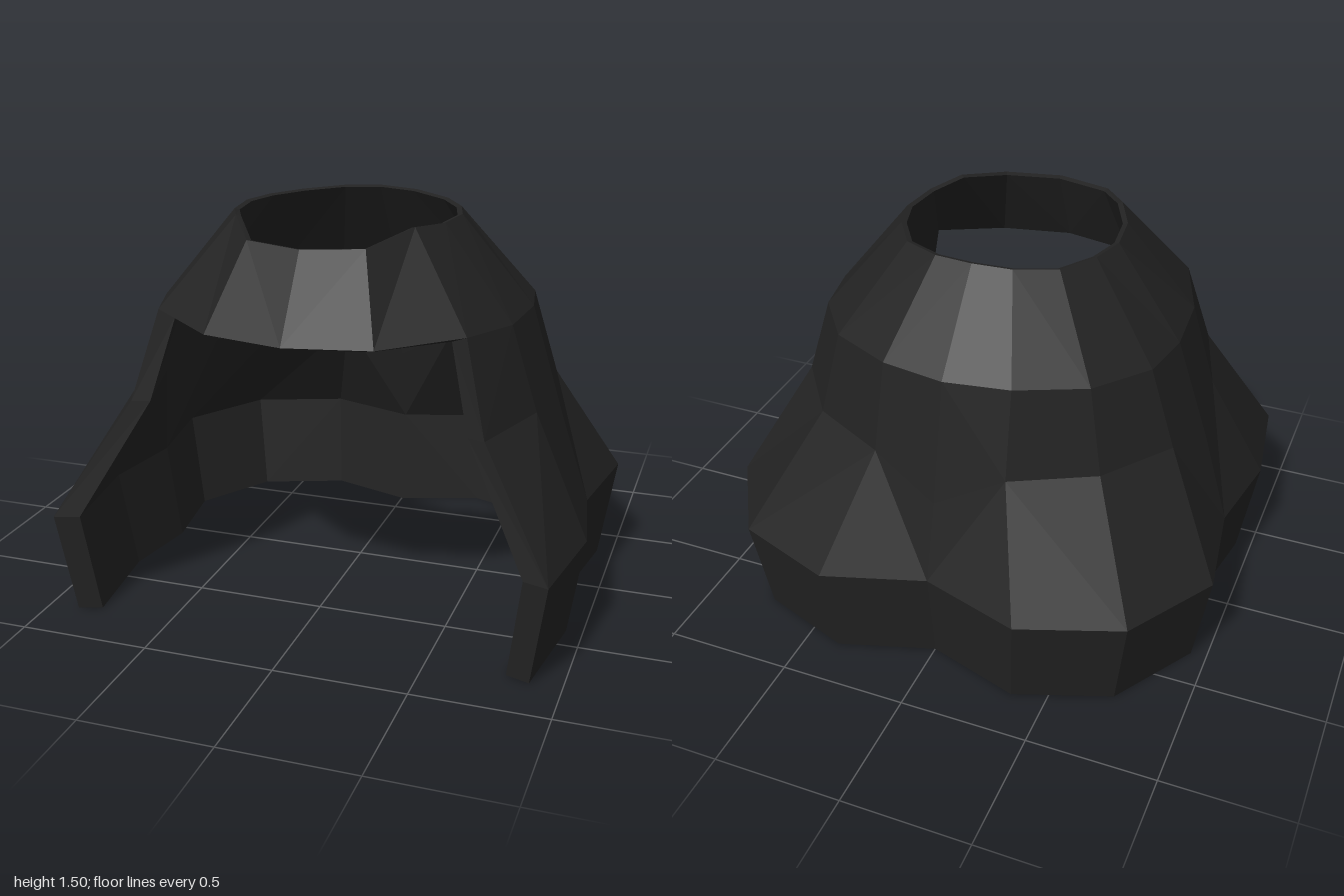
import * as THREE from 'three';

// Half cross-sections as [x, y, z], from the front middle round the left side to the back middle.
// The first two columns exist only above the front opening.
const hem = [null, null, [0.94, 0.39, 0.835], [1, 0.39, 0.42], [0.94, 0.39, 0.05], [1, 0.39, -0.36],
  [0.78, 0.39, -0.72], [0.39, 0.39, -0.865], [0, 0.39, -0.74]];
const waist = [null, null, [0.67, 0.83, 0.68], [0.78, 0.83, 0.33], [0.83, 0.74, 0.07], [0.76, 0.83, -0.17],
  [0.565, 0.83, -0.44], [0.26, 0.83, -0.6], [0, 0.7, -0.66]];
const shoulder = [[0, 1.155, 0.865], [0.31, 1.155, 0.8], [0.58, 1.17, 0.6], [0.68, 1.15, 0.33], [0.7, 1.15, 0.05],
  [0.66, 1.15, -0.17], [0.5, 1.16, -0.39], [0.25, 1.17, -0.52], [0, 1.17, -0.56]];
const neck = [[0, 1.45, 0.67], [0.22, 1.455, 0.61], [0.34, 1.5, 0.42], [0.41, 1.49, 0.27], [0.43, 1.49, 0.1],
  [0.39, 1.49, -0.04], [0.3, 1.49, -0.18], [0.15, 1.5, -0.26], [0, 1.505, -0.28]];
const base = hem.map((p) => p && [p[0] * 0.938, 0, p[2] * 0.93]);
base[2][2] = 0.8;

const outer = [base, hem, waist, shoulder, neck];
// Inner lining: each ring drawn in towards its centre
const inner = outer.map((row, r) => row.map((p, c) => {
  if (!p) return null;
  const s = r === 4 ? 0.955 : 0.9;
  const edge = c === 2 && r < 4;
  const z = edge ? p[2] * 0.965 : 0.15 + (p[2] - 0.15) * s;
  const y = r === 3 ? p[1] - 0.025 : r === 4 ? p[1] - 0.005 : p[1];
  return [p[0] * s, y, z];
}));

// Collects faceted triangles on one side and mirrors them to the other
function makePart(name, material, build) {
  const pos = [];
  const tri = (a, b, c) => {
    pos.push(...a, ...b, ...c);
    for (const p of [a, c, b]) pos.push(-p[0], p[1], p[2]);
  };
  const quad = (a, b, c, d, otherDiagonal = false) => {
    if (otherDiagonal) { tri(a, b, d); tri(b, c, d); }
    else { tri(a, b, c); tri(a, c, d); }
  };
  build(quad);
  const geometry = new THREE.BufferGeometry();
  geometry.setAttribute('position', new THREE.Float32BufferAttribute(pos, 3));
  geometry.computeVertexNormals();
  const mesh = new THREE.Mesh(geometry, material);
  mesh.name = name;
  return mesh;
}

// Panels between rings, fanning from the valleys of the scalloped hem
function shell(rows, flip) {
  return (quad) => {
    for (let r = 0; r < 4; r++) {
      for (let c = r < 3 ? 2 : 0; c < 8; c++) {
        const a = rows[r][c], b = rows[r][c + 1], d = rows[r + 1][c + 1], e = rows[r + 1][c];
        const other = r === 1 && (c === 3 || c === 7);
        if (flip) quad(a, e, d, b, !other);
        else quad(a, b, d, e, other);
      }
    }
  };
}

export function createModel() {
  const group = new THREE.Group();
  group.name = 'openCape';
  const cloth = new THREE.MeshStandardMaterial({ color: 0x222222 });
  cloth.name = 'black cloth';

  // flip keeps the same diagonals on the lining, since its corners run a, e, d, b
  const lining = (quad) => shell(inner, true)((a, e, d, b, o) => quad(a, e, d, b, !o ? true : false));

  // Strips joining the cape and its lining
  const rim = (r, from, to, up) => (quad) => {
    for (let c = from; c < to; c++) {
      const [a, b, d, e] = [outer[r][c], inner[r][c], inner[r][c + 1], outer[r][c + 1]];
      if (up) quad(a, e, d, b);
      else quad(a, b, d, e);
    }
  };
  const frontEdge = (quad) => {
    for (let r = 0; r < 3; r++) quad(outer[r][2], outer[r + 1][2], inner[r + 1][2], inner[r][2]);
  };

  group.add(
    makePart('outerCape', cloth, shell(outer, false)),
    makePart('innerLining', cloth, lining),
    makePart('bottomHem', cloth, rim(0, 2, 8, false)),
    makePart('neckRim', cloth, rim(4, 0, 8, true)),
    makePart('brimUnderside', cloth, rim(3, 0, 2, false)),
    makePart('frontEdges', cloth, frontEdge),
  );
  return group;
}
